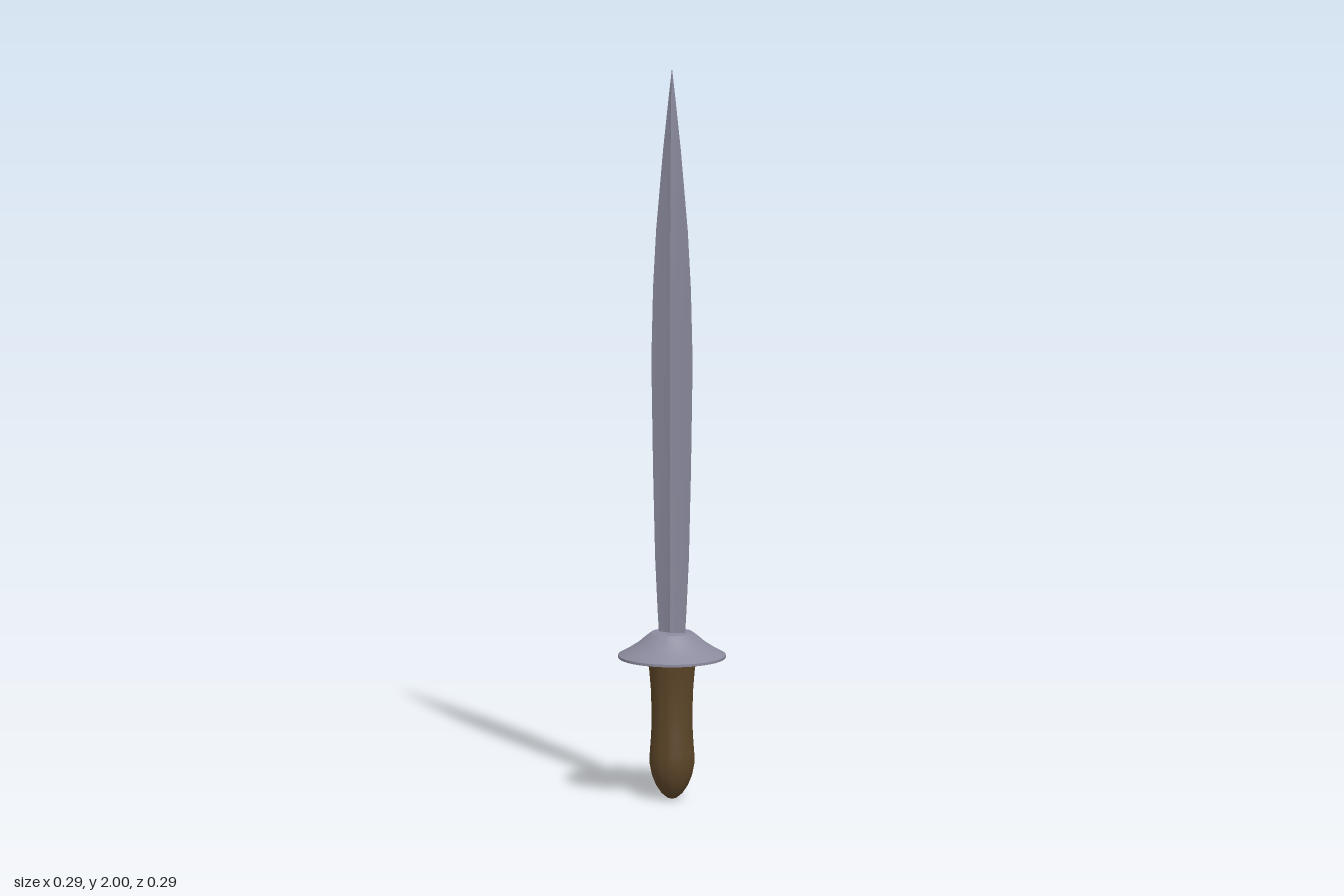
import * as THREE from 'three';
import { toCreasedNormals } from 'three/addons/utils/BufferGeometryUtils.js';

const steel = new THREE.MeshStandardMaterial({ color: 0x8b8b9e });
const leather = new THREE.MeshStandardMaterial({ color: 0x5c4528 });

// Turned part from [radius, height] pairs, listed bottom to top
function turned(name, profile, material, crease) {
  const points = profile.map(([r, y]) => new THREE.Vector2(r, y));
  const geometry = toCreasedNormals(new THREE.LatheGeometry(points, 48), crease);
  const mesh = new THREE.Mesh(geometry, material);
  mesh.name = name;
  return mesh;
}

// Blade lofted through ridged cross-sections: [height, half width, half thickness]
function bladeGeometry() {
  const stations = [
    [0.44, 0.036, 0.014], [0.52, 0.041, 0.014], [0.66, 0.048, 0.014],
    [0.90, 0.054, 0.014], [1.20, 0.059, 0.014], [1.40, 0.054, 0.0135],
    [1.56, 0.045, 0.012], [1.78, 0.025, 0.009], [1.92, 0.0095, 0.006],
    [2.0, 0.0005, 0.001],
  ];
  // Quarter outline as fractions of width and thickness, mirrored to a loop
  const front = [[1, 0.25], [0.28, 0.7], [0, 1], [-0.28, 0.7], [-1, 0.25]];
  const section = [...front, ...front.map(([x, z]) => [-x, -z])];
  const n = section.length;
  const positions = [];
  const index = [];
  for (const [y, w, t] of stations) {
    for (const [x, z] of section) positions.push(x * w, y, z * t);
  }
  for (let s = 0; s < stations.length - 1; s++) {
    for (let i = 0; i < n; i++) {
      const a = s * n + i, b = s * n + (i + 1) % n;
      index.push(a, a + n, b, b, a + n, b + n);
    }
  }
  // Close both ends
  const top = (stations.length - 1) * n;
  for (let i = 1; i < n - 1; i++) {
    index.push(0, i, i + 1, top, top + i + 1, top + i);
  }
  const geometry = new THREE.BufferGeometry();
  geometry.setAttribute('position', new THREE.Float32BufferAttribute(positions, 3));
  geometry.setIndex(index);
  return toCreasedNormals(geometry, 0.15);
}

export function createModel() {
  const model = new THREE.Group();
  model.name = 'sword';

  const blade = new THREE.Mesh(bladeGeometry(), steel);
  blade.name = 'blade';

  // Round guard: flat underside, thin rim, concave slope up to a flat collar
  const guard = turned('guard', [
    [0, 0.388], [0.145, 0.388], [0.145, 0.395], [0.118, 0.41],
    [0.092, 0.427], [0.071, 0.445], [0.055, 0.457], [0, 0.457],
  ], steel, 0.5);

  // Waisted grip with a rounded pommel end
  const grip = turned('grip', [
    [0, 0], [0.012, 0.003], [0.028, 0.016], [0.043, 0.038], [0.054, 0.065],
    [0.06, 0.095], [0.06, 0.125], [0.056, 0.18], [0.055, 0.24],
    [0.057, 0.3], [0.061, 0.35], [0.067, 0.39],
  ], leather, 0.8);

  model.add(blade, guard, grip);
  return model;
}
